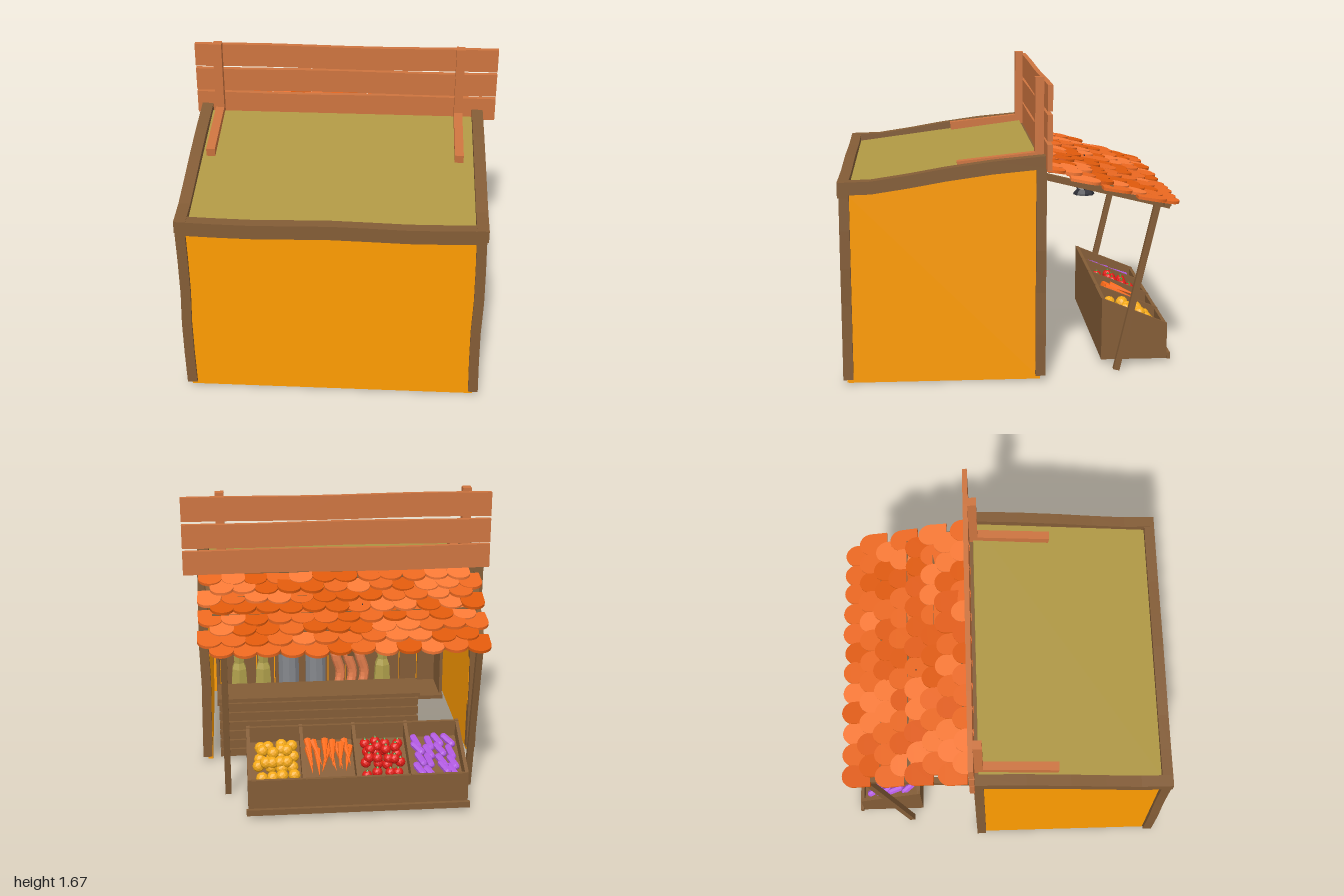
import * as THREE from 'three';

const mat = (color) => new THREE.MeshStandardMaterial({ color, flatShading: true, side: THREE.DoubleSide });
const M = {
  wall: mat(0xff9c00), wood: mat(0x835c36), sign: mat(0xcd743f), roof: mat(0xb09844),
  tiles: [mat(0xfa7a36), mat(0xe05a0c), mat(0xec6820)],
  iron: mat(0x2c2e36), glass: mat(0xd8d8d8), metal: mat(0x85878c), jar: mat(0xb0a04c),
  sausage: mat(0xe8804e), orange: mat(0xf5aa18), carrot: mat(0xff6c1a), tomato: mat(0xe01a14),
  leaf: mat(0x3f8a2c), plum: mat(0xb058e0),
};

let seed = 7;
const rnd = () => (seed = (seed * 16807) % 2147483647) / 2147483647;
const jit = (a) => (rnd() - 0.5) * 2 * a;

export function createModel() {
  const model = new THREE.Group();
  const stall = new THREE.Group();
  stall.name = 'marketStall';
  stall.rotation.y = -0.085;
  model.add(stall);

  const add = (name, geo, m, x = 0, y = 0, z = 0, parent = stall) => {
    const mesh = new THREE.Mesh(geo, m);
    mesh.name = name;
    mesh.position.set(x, y, z);
    parent.add(mesh);
    return mesh;
  };
  // box given by its min and max corners
  const box = (name, m, x0, x1, y0, y1, z0, z1) =>
    add(name, new THREE.BoxGeometry(x1 - x0, y1 - y0, z1 - z0), m, (x0 + x1) / 2, (y0 + y1) / 2, (z0 + z1) / 2);
  // square bar between two points
  const bar = (name, m, a, b, w, h = w) => {
    const A = new THREE.Vector3(...a), B = new THREE.Vector3(...b);
    const mesh = add(name, new THREE.BoxGeometry(w, h, A.distanceTo(B)), m);
    mesh.position.copy(A).lerp(B, 0.5);
    mesh.quaternion.setFromRotationMatrix(new THREE.Matrix4().lookAt(B, A, mesh.up));
    return mesh;
  };
  // side outline of [z, y] points, given a thickness along x
  const sidePanel = (name, m, pts, x, t) => {
    const g = new THREE.ExtrudeGeometry(new THREE.Shape(pts.map((p) => new THREE.Vector2(...p))),
      { depth: t, bevelEnabled: false });
    g.rotateY(-Math.PI / 2).translate(t / 2, 0, 0);
    return add(name, g, m, x);
  };

  // walls, roof and corner posts
  const L = -0.815, R = 0.8, F = 0.895, B = -0.165;
  box('frontWall', M.wall, L, R, 0.004, 1.08, F - 0.025, F + 0.008);
  const top = [[0.93, 1.135], [0.75, 1.14], [0.55, 1.17], [0.35, 1.205], [0.1, 1.24], [-0.2, 1.268]];
  for (const x of [L, R]) {
    sidePanel('sideWall', M.wall, [[F, 0.004], [B, 0.004], [B, 1.21], [0.35, 1.15], [F, 1.08]], x * 0.985, 0.03);
    const under = top.map(([z, y]) => [z, y - 0.07]).reverse();
    sidePanel('sideBeam', M.wood, [...top, ...under], x, 0.065);
    for (const z of [F, B]) {
      const h = z === F ? 1.08 : 1.22;
      const g = new THREE.BoxGeometry(0.055, h - 0.03, 0.055, 1, 5, 1);
      const p = g.attributes.position;
      for (let i = 0; i < p.count; i++) p.setX(i, p.getX(i) + 0.004 * Math.sin(p.getY(i) * 9));
      add('cornerPost', g, M.wood, x, (h + 0.03) / 2, z);
    }
  }
  const fb = new THREE.BoxGeometry(R - L + 0.05, 0.085, 0.06, 8, 1, 1);
  const fp = fb.attributes.position;
  for (let i = 0; i < fp.count; i++) fp.setY(i, fp.getY(i) + 0.005 * Math.cos(fp.getX(i) * 7));
  add('frontBeam', fb, M.wood, (L + R) / 2, 1.088, F + 0.005);
  box('backBeam', M.wood, L, R, 1.13, 1.21, B - 0.02, B + 0.02);
  bar('roof', M.roof, [-0.008, 1.08, F], [-0.008, 1.22, B], R - L, 0.02);

  // sign boards on two uprights with feet
  for (let i = 0; i < 3; i++) {
    const g = new THREE.BoxGeometry(1.78, 0.14, 0.028, 8, 1, 1);
    const p = g.attributes.position;
    for (let k = 0; k < p.count; k++) p.setY(k, p.getY(k) + 0.003 * Math.sin(p.getX(k) * 5 + i * 2));
    add('signBoard', g, M.sign, 0.015, 1.272 + i * 0.156, -0.2);
  }
  for (const x of [-0.735, 0.685]) {
    box('signUpright', M.sign, x - 0.025, x + 0.025, 1.2, 1.675, -0.188, -0.138);
    bar('signFoot', M.sign, [x, 1.245, -0.17], [x, 1.195, 0.285], 0.05);
  }

  // awning frame
  const awnY = (z) => 1.2 + (z + 0.2) * 0.3;
  for (const x of [-0.71, 0, 0.69])
    bar('rafter', M.wood, [x * 1.12, awnY(-0.16) - 0.06, -0.16], [x, awnY(-0.89) - 0.035, -0.89], 0.035);
  for (let i = 0; i < 5; i++) {
    const z = -0.23 - i * 0.16;
    box('batten', M.wood, -0.74, 0.74, awnY(z) - 0.035, awnY(z) - 0.015, z - 0.02, z + 0.02);
  }
  for (const x of [-0.715, 0.68]) bar('awningPole', M.wood, [x, 0.005, -0.61], [x, 0.97, -0.825], 0.035);

  // rounded roof tiles in staggered rows
  const w = 0.067;
  const ts = new THREE.Shape();
  ts.moveTo(-w, 0);
  ts.lineTo(w, 0);
  ts.lineTo(w, 0.1);
  ts.absellipse(0, 0.1, w, 0.07, 0, Math.PI, false);
  ts.lineTo(-w, 0);
  const tileGeo = new THREE.ExtrudeGeometry(ts, { depth: 0.016, bevelEnabled: false, curveSegments: 8 });
  tileGeo.rotateX(-Math.PI / 2);
  const tiles = new THREE.Group();
  tiles.name = 'roofTiles';
  stall.add(tiles);
  for (let r = 0; r < 8; r++) {
    const end = -0.305 - r * 0.092, pitch = 0.131 - r * 0.0007, n = 12;
    const shift = (r % 2 ? -0.032 : 0.032) + 0.004 * r;
    for (let i = 0; i < n; i++) {
      const x = (i - (n - 1) / 2) * pitch + shift;
      const t = add('tile', tileGeo, M.tiles[Math.floor(rnd() * 3)], x, awnY(end) + 0.018 + jit(0.004), end + 0.17 + jit(0.008), tiles);
      t.rotation.set(-0.17 + jit(0.03), jit(0.05), jit(0.04));
    }
  }

  // lantern under the awning
  const lantern = new THREE.Group();
  lantern.name = 'lantern';
  lantern.position.set(-0.1, 0.86, -0.515);
  stall.add(lantern);
  const prof = (pts, n = 8) => new THREE.LatheGeometry(pts.map((p) => new THREE.Vector2(...p)), n);
  add('lanternBase', prof([[0, 0], [0.066, 0], [0.062, 0.012], [0.04, 0.035], [0, 0.035]]), M.iron, 0, 0, 0, lantern);
  add('lanternGlass', prof([[0.034, 0.03], [0.052, 0.08], [0.036, 0.135]]), M.glass, 0, 0, 0, lantern);
  add('lanternCap', prof([[0, 0.13], [0.042, 0.13], [0.03, 0.15], [0, 0.16]]), M.iron, 0, 0, 0, lantern);
  for (let i = 0; i < 4; i++) {
    const a = (i * Math.PI) / 2;
    const c = new THREE.CatmullRomCurve3([[0.036, 0.03], [0.057, 0.08], [0.038, 0.135]].map(
      ([r, y]) => new THREE.Vector3(r * Math.cos(a), y, r * Math.sin(a))));
    add('lanternRib', new THREE.TubeGeometry(c, 6, 0.005, 4), M.iron, 0, 0, 0, lantern);
  }
  add('lanternHook', new THREE.CylinderGeometry(0.004, 0.004, 0.09, 5), M.iron, 0, 0.2, 0, lantern);

  // slatted counter
  box('counterBody', M.wood, -0.475, 0.72, 0.02, 0.385, -0.165, 0.03);
  box('counterTop', M.wood, -0.49, 0.735, 0.385, 0.405, -0.19, 0.045);
  for (let i = 0; i < 6; i++) box('counterSlat', M.wood, -0.48, 0.725, 0.025 + i * 0.06, 0.07 + i * 0.06, -0.182, -0.16);

  // produce crate: sloped dividers, floor, tall and low boards
  const cx0 = -0.66, cx1 = 0.57, cell = (cx1 - cx0 - 0.02) / 4;
  box('crateFloor', M.wood, cx0, cx1, 0.025, 0.05, -0.92, -0.54);
  box('crateTallBoard', M.wood, cx0, cx1, 0.025, 0.385, -0.56, -0.54);
  box('crateLowBoard', M.wood, cx0, cx1, 0.025, 0.23, -0.92, -0.9);
  box('crateLip', M.wood, cx0 - 0.01, cx1 + 0.01, 0.025, 0.06, -0.94, -0.92);
  bar('crateBed', M.wood, [(cx0 + cx1) / 2, 0.29, -0.55], [(cx0 + cx1) / 2, 0.15, -0.91], cx1 - cx0 - 0.02, 0.012);
  for (let i = 0; i < 5; i++)
    sidePanel('crateDivider', M.wood, [[-0.54, 0.025], [-0.54, 0.39], [-0.92, 0.235], [-0.92, 0.025]], cx0 + 0.01 + i * cell, 0.02);

  // vegetables and fruit, one kind per cell
  const ball = new THREE.IcosahedronGeometry(0.03, 1);
  const star = new THREE.ConeGeometry(0.012, 0.012, 5);
  const carrot = new THREE.ConeGeometry(0.022, 0.2, 7);
  const plum = new THREE.CapsuleGeometry(0.021, 0.07, 3, 7);
  const bedY = (z) => 0.29 + (z + 0.55) * 0.39;
  for (let k = 0; k < 4; k++) {
    const mid = cx0 + 0.01 + (k + 0.5) * cell;
    for (let i = 0; i < 24; i++) {
      const layer = i >= 16 ? 1 : 0, j = i % 16;
      const x = mid + ((j % 4) - 1.5) * 0.06 * (layer ? 0.75 : 1) + jit(0.012);
      const z = -0.73 + (Math.floor(j / 4) - (layer ? 0.5 : 1.5)) * 0.07 + jit(0.015);
      const y = bedY(z) + 0.03 + layer * 0.035;
      if (k === 3) add('orange', ball, M.orange, x, y, z).scale.setScalar(1.15);
      else if (k === 1) {
        add('tomato', ball, M.tomato, x, y, z);
        add('tomatoStalk', star, M.leaf, x, y + 0.031, z);
      } else if (k === 2 && i < 12) {
        const c = add('carrot', carrot, M.carrot, mid + ((i % 6) - 2.5) * 0.042, bedY(-0.73) + 0.03 + (i >= 6 ? 0.03 : 0), -0.73 + jit(0.04));
        c.rotation.set(-Math.PI / 2 - 0.37, 0, jit(0.25));
      } else if (k === 0 && i < 16) {
        const e = add('aubergine', plum, M.plum, x, bedY(z) + 0.025 + (i % 2) * 0.015, z);
        e.rotation.set(-Math.PI / 2 - 0.37, 0, 0.4 + jit(0.2));
      }
    }
  }

  // shelf along the inside of the front wall
  box('shelfFloor', M.wood, -0.76, 0.75, 0.03, 0.055, 0.56, 0.87);
  box('shelfTop', M.wood, -0.76, 0.75, 0.5, 0.52, 0.62, 0.87);
  for (const x of [-0.76, 0.73]) box('shelfEnd', M.wood, x, x + 0.02, 0.03, 0.5, 0.6, 0.87);
  for (let i = 0; i < 12; i++) {
    const x = -0.74 + i * 0.1225;
    box('shelfBackBoard', M.wood, x, x + 0.115, 0.05, 0.5, 0.84 + (i % 2) * 0.008, 0.865);
  }

  // jars, churns and hanging sausages on the shelf
  const bottle = prof([[0, 0], [0.065, 0], [0.052, 0.2], [0.035, 0.24], [0.04, 0.3], [0, 0.3]], 6);
  const churn = prof([[0, 0], [0.08, 0], [0.08, 0.02], [0.07, 0.03], [0.07, 0.33], [0.05, 0.38], [0, 0.38]], 10);
  for (const x of [0.6, 0.44, -0.36]) add('oilJar', bottle, M.jar, x, 0.055, 0.67);
  for (const x of [0.27, 0.09]) add('milkChurn', churn, M.metal, x, 0.055, 0.66);
  for (let i = 0; i < 3; i++) {
    const c = new THREE.CatmullRomCurve3([[0, 0.48, 0.02], [0.02, 0.36, -0.01], [-0.015, 0.22, 0], [0.01, 0.09, -0.02]].map(
      (p) => new THREE.Vector3(...p)));
    add('sausage', new THREE.TubeGeometry(c, 12, 0.032, 8), M.sausage, -0.06 - i * 0.08, 0, 0.63);
  }
  return model;
}
